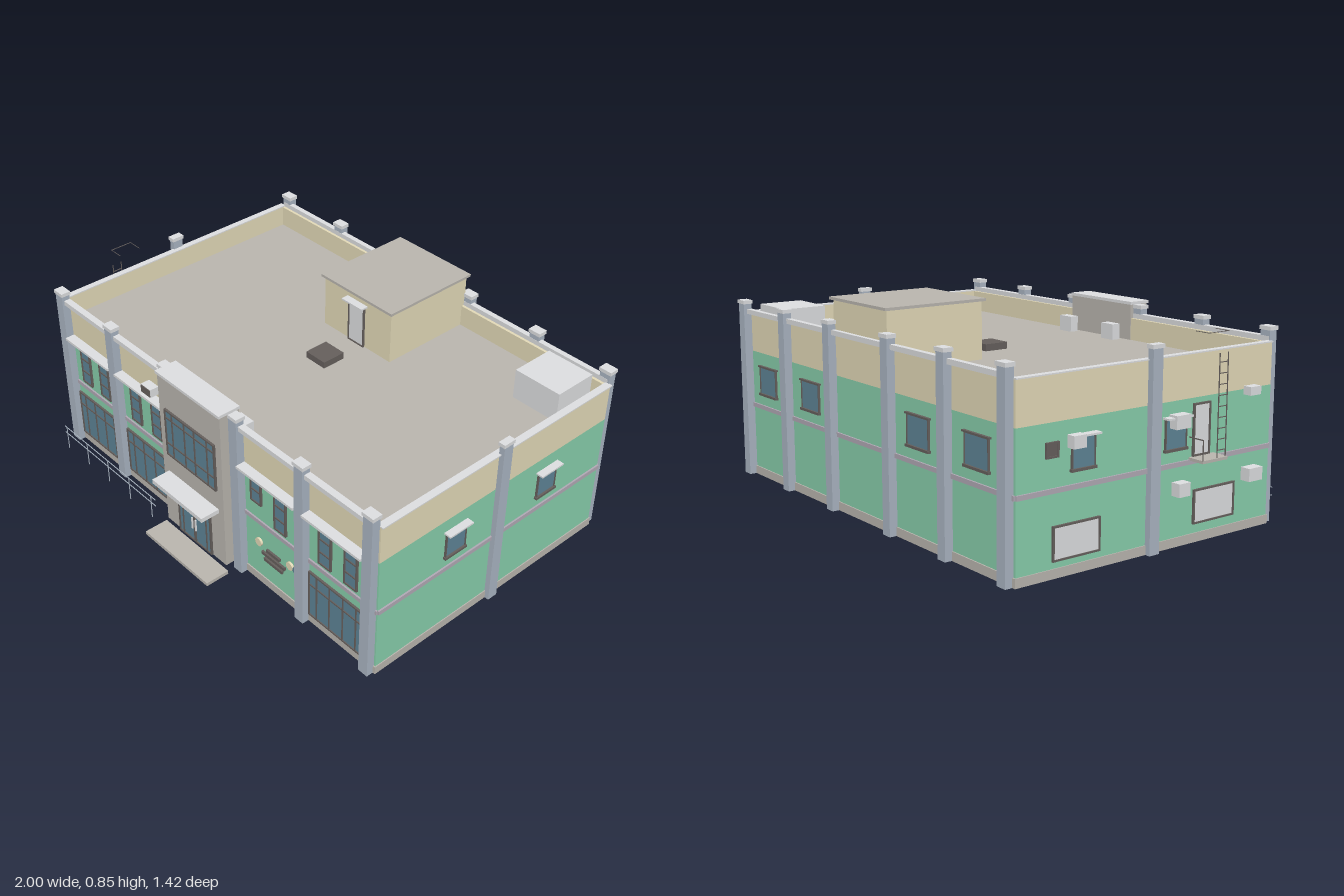
import * as THREE from 'three';

const mat = (name, color) => {
  const m = new THREE.MeshStandardMaterial({ color });
  m.name = name;
  return m;
};
const GREEN = mat('green wall', 0x89d0ad);
const TAN = mat('tan wall', 0xe4dbb9);
const STONE = mat('warm grey stone', 0xbbb7b0);
const COLUMN = mat('blue grey column', 0xabb6c3);
const BAND = mat('mauve band', 0xb2aab6);
const GLASS = mat('window glass', 0x5f8597);
const FRAME = mat('dark frame', 0x66605d);
const PALE = mat('pale grey', 0xdfe0e2);

// Box given by its low and high corners
function box(parent, name, m, x0, x1, y0, y1, z0, z1) {
  const mesh = new THREE.Mesh(new THREE.BoxGeometry(x1 - x0, y1 - y0, z1 - z0), m);
  mesh.position.set((x0 + x1) / 2, (y0 + y1) / 2, (z0 + z1) / 2);
  mesh.name = name;
  parent.add(mesh);
  return mesh;
}

function group(parent, name, x = 0, z = 0, turn = 0) {
  const g = new THREE.Group();
  g.name = name;
  g.position.set(x, 0, z);
  g.rotation.y = turn;
  parent.add(g);
  return g;
}

// Framed panel on the z = 0 plane; bars are fractions of width and height
function panel(parent, name, x0, x1, y0, y1, { v = [], h = [], fill = GLASS, b = 0.007 } = {}) {
  const g = group(parent, name);
  const bar = (a, c, d, e) => box(g, 'frame', FRAME, a, c, d, e, 0, 0.009);
  box(g, 'pane', fill, x0 + b, x1 - b, y0 + b, y1 - b, 0, 0.005);
  bar(x0, x0 + b, y0, y1);
  bar(x1 - b, x1, y0, y1);
  bar(x0 + b, x1 - b, y0, y0 + b);
  bar(x0 + b, x1 - b, y1 - b, y1);
  for (const t of v) {
    const x = x0 + t * (x1 - x0);
    bar(x - 0.0025, x + 0.0025, y0 + b, y1 - b);
  }
  for (const t of h) {
    const y = y0 + t * (y1 - y0);
    bar(x0 + b, x1 - b, y - 0.003, y + 0.003);
  }
  return g;
}

// Small square window with a dark sill and a lintel
function sillWindow(parent, x, w, lintelMat, lintelDepth) {
  const a = x - w / 2, c = x + w / 2;
  panel(parent, 'window', a, c, 0.365, 0.482, { b: 0.004 });
  box(parent, 'sill', FRAME, a - 0.004, c + 0.004, 0.359, 0.369, 0, 0.013);
  box(parent, 'lintel', lintelMat, a - 0.008, c + 0.008, 0.48, 0.487, 0, lintelDepth);
}

function column(parent, x, depth = 0.034) {
  const g = group(parent, 'column', x);
  box(g, 'shaft', COLUMN, -0.023, 0.023, 0, 0.742, -0.002, depth);
  box(g, 'capital', PALE, -0.028, 0.028, 0.742, 0.757, -0.005, depth + 0.003);
}

function airUnit(parent, x0, x1, y0, y1, depth) {
  box(parent, 'airUnit', PALE, x0, x1, y0, y1, 0, depth);
}

export function createModel() {
  const model = new THREE.Group();
  model.name = 'building';
  const X0 = -0.927, X1 = 0.966, Z0 = -0.672, Z1 = 0.53, T = 0.015, TX = 0.022;
  const ROOF = 0.61;

  // Main block, roof and parapet
  box(model, 'walls', GREEN, X0, X1, 0.02, 0.54, Z0, Z1);
  box(model, 'plinth', STONE, X0 - 0.004, X1 + 0.004, 0, 0.035, Z0 - 0.005, Z1 + 0.005);
  box(model, 'roof', STONE, X0 + TX, X1 - TX, 0.54, ROOF, Z0 + T, Z1 - T);
  const parapet = group(model, 'parapet');
  for (const [z, low, high] of [[Z0, Z0 - 0.02, Z0 + 0.003], [Z1 - T, Z1 - 0.003, Z1 + 0.025]]) {
    box(parapet, 'parapetWall', TAN, X0, X1, 0.54, 0.7, z, z + T);
    box(parapet, 'coping', PALE, X0 + 0.015, X1 - 0.015, 0.7, 0.72, low, high);
  }
  for (const [x, low, high] of [[X0, X0 - 0.005, X0 + TX], [X1 - TX, X1 - TX, X1 + 0.009]]) {
    box(parapet, 'parapetWall', TAN, x, x + TX, 0.54, 0.7, Z0 + T, Z1 - T);
    box(parapet, 'coping', PALE, low, high, 0.7, 0.705, Z0, Z1);
  }

  // Four facades, each built facing +z in its own frame
  const front = group(model, 'frontFacade', 0, Z1);
  const back = group(model, 'backFacade', 0, Z0, Math.PI);
  const left = group(model, 'leftFacade', X1, 0, Math.PI / 2);
  const right = group(model, 'rightFacade', X0, 0, -Math.PI / 2);
  for (const x of [-0.893, -0.547, -0.19, 0.228, 0.588, 0.936]) {
    column(front, x);
    column(back, -x);
  }
  column(left, 0.072, 0.022);
  column(right, -0.072, 0.025);
  for (const [side, a, c] of [[front, X0, X1], [back, -X1, -X0], [left, -Z1, -Z0], [right, Z0, Z1]])
    box(side, 'band', BAND, a, c, 0.298, 0.316, 0, 0.007);

  // Front upper windows and the ledges above them
  for (const x of [-0.788, -0.655, -0.435, -0.295, 0.455, 0.698, 0.832])
    panel(front, 'tallWindow', x - 0.034, x + 0.034, 0.335, 0.515, { h: [0.33, 0.67] });
  panel(front, 'shortWindow', 0.288, 0.35, 0.393, 0.512, { h: [0.5] });
  for (const [a, c] of [[-0.866, -0.568], [-0.522, -0.213], [0.251, 0.565], [0.611, 0.913]])
    box(front, 'ledge', PALE, a, c, 0.536, 0.547, 0, 0.042);

  // Shopfront glazing
  for (const [a, c] of [[-0.868, -0.57], [-0.52, -0.215], [0.613, 0.911]])
    panel(front, 'shopWindow', a, c, 0.037, 0.257, { v: [0.15, 0.38, 0.62, 0.85], h: [0.72] });
  airUnit(front, -0.333, -0.272, 0.566, 0.602, 0.04);
  box(front, 'airUnitGrille', FRAME, -0.331, -0.274, 0.568, 0.6, 0.04, 0.043);

  // Wall decoration: bars and discs
  for (const [a, c, y] of [[0.375, 0.45, 0.19], [0.347, 0.478, 0.165], [0.36, 0.465, 0.139]])
    box(front, 'signBar', FRAME, a, c, y - 0.007, y + 0.007, 0, 0.009);
  for (const [x, m] of [[0.33, TAN], [0.508, TAN], [0.545, GLASS]]) {
    const disc = new THREE.Mesh(new THREE.CylinderGeometry(0.018, 0.018, 0.009, 24), m);
    disc.rotation.x = Math.PI / 2;
    disc.position.set(x, 0.205, 0.005);
    disc.name = 'disc';
    front.add(disc);
  }

  // Entrance tower with canopy, doors and step
  const tower = group(model, 'entranceTower');
  box(tower, 'towerBody', STONE, -0.168, 0.206, 0.035, 0.757, 0.512, 0.602);
  box(tower, 'towerCap', PALE, -0.172, 0.21, 0.757, 0.769, 0.51, 0.609);
  box(tower, 'canopy', PALE, -0.135, 0.175, 0.285, 0.304, 0.6, 0.686);
  box(tower, 'step', STONE, -0.18, 0.218, 0, 0.015, 0.604, 0.709);
  const towerFace = group(tower, 'towerFace', 0, 0.602);
  panel(towerFace, 'bigWindow', -0.13, 0.173, 0.395, 0.615, { v: [0.15, 0.4, 0.6, 0.85], h: [0.28, 0.83] });
  panel(towerFace, 'doors', -0.08, 0.125, 0.037, 0.257, { v: [0.14, 0.48, 0.52, 0.86], h: [0.84] });
  for (const x of [0.012, 0.033])
    box(towerFace, 'handle', PALE, x - 0.003, x + 0.003, 0.105, 0.16, 0.008, 0.014);

  // Railing in front of the shop windows
  const rail = group(model, 'railing', 0, 0.628);
  for (const y of [0.08, 0.112]) box(rail, 'bar', COLUMN, -0.87, -0.215, y - 0.0015, y + 0.0015, -0.0015, 0.0015);
  for (let i = 0; i < 5; i++) {
    const x = -0.855 + i * 0.152;
    box(rail, 'post', COLUMN, x - 0.0015, x + 0.0015, 0, 0.112, -0.0015, 0.0015);
  }

  // Back and left side windows
  for (const x of [-0.72, -0.365, 0.41, 0.77]) sillWindow(back, -x, 0.14, FRAME, 0.012);
  for (const z of [0.152, -0.341]) sillWindow(left, -z, 0.104, PALE, 0.031);

  // Right side: windows, shutters, air units, door, platform and ladder
  for (const z of [-0.388, 0.04]) sillWindow(right, z, 0.104, PALE, 0.031);
  panel(right, 'vent', -0.55, -0.495, 0.42, 0.475, { fill: FRAME });
  panel(right, 'shutter', -0.52, -0.31, 0.06, 0.185, { fill: PALE });
  panel(right, 'shutter', 0.135, 0.345, 0.07, 0.2, { fill: PALE });
  airUnit(right, -0.455, -0.4, 0.445, 0.49, 0.036);
  airUnit(right, 0.01, 0.08, 0.445, 0.495, 0.04);
  airUnit(right, 0.03, 0.085, 0.195, 0.245, 0.04);
  airUnit(right, 0.385, 0.455, 0.195, 0.245, 0.043);
  airUnit(right, 0.385, 0.44, 0.52, 0.552, 0.036);
  panel(right, 'sideDoor', 0.125, 0.21, 0.325, 0.52, { fill: PALE });
  box(right, 'platform', STONE, 0.11, 0.235, 0.313, 0.324, 0, 0.073);
  box(right, 'platformRail', FRAME, 0.11, 0.113, 0.397, 0.401, 0, 0.072);
  box(right, 'platformPost', FRAME, 0.11, 0.113, 0.324, 0.401, 0.069, 0.072);
  const ladder = group(right, 'ladder');
  for (const x of [0.185, 0.227]) box(ladder, 'ladderRail', FRAME, x - 0.0015, x + 0.0015, 0.324, 0.705, 0.066, 0.069);
  for (let i = 0; i < 9; i++)
    box(ladder, 'rung', FRAME, 0.185, 0.227, 0.35 + i * 0.04, 0.353 + i * 0.04, 0.066, 0.069);
  box(ladder, 'hoop', FRAME, 0.13, 0.23, 0.779, 0.781, 0.062, 0.065);
  for (const x of [0.13, 0.228]) box(ladder, 'hoopArm', FRAME, x, x + 0.002, 0.779, 0.781, 0, 0.065);

  // Rooftop stair house, hatch and equipment
  const house = group(model, 'stairHouse');
  box(house, 'houseWalls', TAN, -0.165, 0.215, ROOF, 0.835, -0.673, -0.248);
  box(house, 'houseRoof', STONE, -0.176, 0.226, 0.835, 0.846, -0.685, -0.236);
  const houseFace = group(house, 'houseFace', 0, -0.248);
  panel(houseFace, 'houseDoor', -0.02, 0.07, ROOF, 0.79, { fill: PALE, b: 0.005 });
  box(houseFace, 'houseCanopy', PALE, -0.032, 0.082, 0.801, 0.808, 0, 0.034);
  box(model, 'hatch', FRAME, -0.03, 0.075, ROOF, ROOF + 0.028, -0.13, -0.025);
  box(model, 'roofUnit', PALE, 0.695, 0.907, ROOF, 0.738, -0.632, -0.44);
  for (const x of [-0.125, 0.145]) box(model, 'roofBox', PALE, x, x + 0.072, ROOF, ROOF + 0.065, 0.453, 0.492);

  return model;
}
